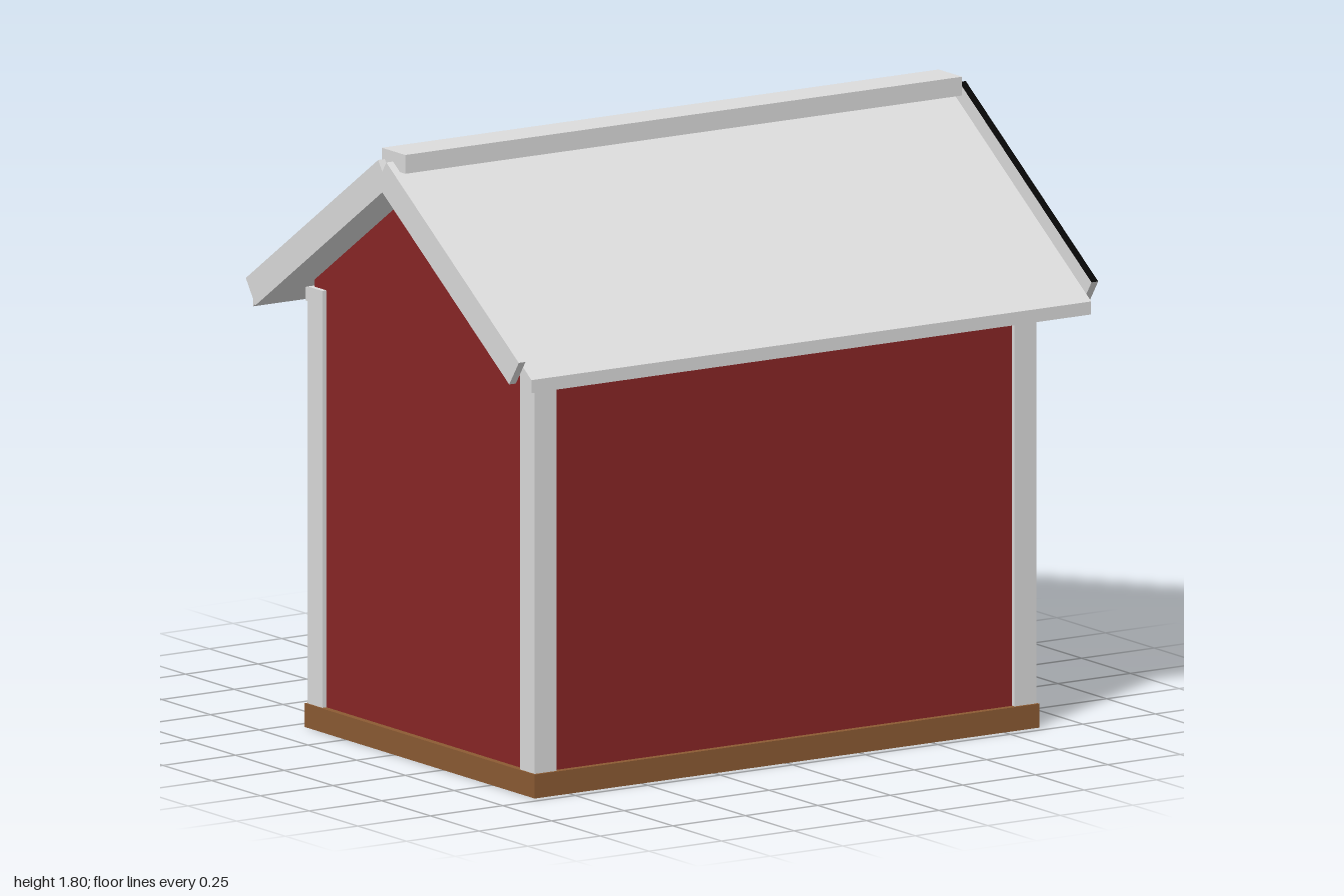
import * as THREE from 'three';

const mat = (name, color) => {
  const m = new THREE.MeshStandardMaterial({ color });
  m.name = name;
  return m;
};

export function createModel() {
  const red = mat('barnRed', 0x892626);
  const trim = mat('trimGrey', 0xdcdcdc);
  const wood = mat('woodBrown', 0x8c5b33);
  const steel = mat('steelGrey', 0x7c818d);
  const black = mat('black', 0x060606);

  const model = new THREE.Group();
  model.name = 'shed';
  const midZ = 0.13; // centre line of the building

  const add = (name, geometry, material, parent = model) => {
    const m = new THREE.Mesh(geometry, material);
    m.name = name;
    parent.add(m);
    return m;
  };
  // Box given by its limits on each axis
  const box = (name, material, [x0, x1], [y0, y1], [z0, z1], parent) => {
    const m = add(name, new THREE.BoxGeometry(x1 - x0, y1 - y0, z1 - z0), material, parent);
    m.position.set((x0 + x1) / 2, (y0 + y1) / 2, (z0 + z1) / 2);
    return m;
  };
  // Profile of [z offset from the centre line, y], extruded along x
  const alongX = (name, material, points, halfWidth) => {
    const shape = new THREE.Shape(points.map(([z, y]) => new THREE.Vector2(-z, y)));
    const g = new THREE.ExtrudeGeometry(shape, { depth: 2 * halfWidth, bevelEnabled: false });
    g.translate(0, 0, -halfWidth).rotateY(Math.PI / 2).translate(0, 0, midZ);
    return add(name, g, material);
  };

  // Floor and walls
  box('floor', wood, [-0.87, 0.87], [0, 0.07], [-0.46, 0.72]);
  alongX('walls', red, [[-0.57, 0.07], [0.57, 0.07], [0.57, 1.31], [0, 1.7], [-0.57, 1.31]], 0.85);

  // Corner posts and eave trim
  for (const s of [-1, 1]) {
    const x = s > 0 ? [0.79, 0.865] : [-0.865, -0.79];
    box('cornerPost', trim, x, [0.07, 1.29], [0.637, 0.712]);
    box('cornerPost', trim, x, [0.07, 1.29], [-0.452, -0.377]);
  }
  box('eaveTrim', trim, [-0.86, 0.86], [1.245, 1.285], [0.69, 0.73]);
  box('eaveTrim', trim, [-0.86, 0.86], [1.245, 1.285], [-0.47, -0.43]);

  // Roof and ridge cap
  alongX('roof', trim,
    [[-0.715, 1.22], [0, 1.705], [0.715, 1.22], [0.715, 1.258], [0, 1.748], [-0.715, 1.258]], 0.965);
  box('ridgeCap', trim, [-0.96, 0.96], [1.745, 1.8], [0.07, 0.19]);

  // Sloping boards at the gable ends
  for (const sx of [-1, 1]) {
    for (const sz of [-1, 1]) {
      const top = sx === sz ? black : trim;
      const board = add('gableBoard', new THREE.BoxGeometry(0.023, 0.087, 0.824),
        [trim, trim, top, trim, trim, trim]);
      board.position.set(sx * 0.9875, 1.507, midZ + sz * 0.336);
      board.rotation.x = sz * 0.601;
    }
  }

  // Sliding door on the back wall
  const door = new THREE.Group();
  door.name = 'door';
  model.add(door);
  box('doorPanel', red, [-0.64, 0.24], [0.08, 1.22], [-0.468, -0.43], door);
  box('doorSideTrim', trim, [0.205, 0.25], [0.07, 1.23], [-0.485, -0.44], door);
  box('doorSideTrim', trim, [-0.65, -0.605], [0.07, 1.23], [-0.485, -0.44], door);
  box('doorRail', trim, [-0.57, 0.165], [0.1, 0.14], [-0.488, -0.46], door);
  box('doorRail', trim, [-0.57, 0.165], [1.09, 1.13], [-0.488, -0.46], door);
  for (const s of [-1, 1]) {
    const under = s > 0 ? black : trim;
    const brace = add('doorBrace', new THREE.BoxGeometry(1.19, 0.045, 0.028),
      [trim, trim, trim, under, trim, trim], door);
    brace.position.set(-0.2025, 0.615, s > 0 ? -0.476 : -0.475);
    brace.rotation.z = s * Math.atan2(0.97, 0.7);
  }
  box('doorTrack', steel, [-0.69, 0.61], [1.235, 1.26], [-0.5, -0.45]);

  // Window on the back wall
  const win = new THREE.Group();
  win.name = 'window';
  model.add(win);
  box('glass', steel, [0.4, 0.7], [0.69, 0.99], [-0.45, -0.442], win);
  for (const x of [0.385, 0.68]) {
    box('windowSide', trim, [x, x + 0.035], [0.675, 1.005], [-0.478, -0.43], win);
  }
  for (const y of [0.675, 0.97]) {
    box('windowRail', trim, [0.42, 0.68], [y, y + 0.035], [-0.475, -0.43], win);
  }
  box('darkMark', black, [0.59, 0.665], [0.71, 0.76], [-0.453, -0.449], win);
  box('darkMark', black, [0.61, 0.645], [0.76, 0.82], [-0.453, -0.449], win);

  // Eight-sided barrel with a hoop
  const barrel = new THREE.Group();
  barrel.name = 'barrel';
  barrel.position.set(0.682, 0, -0.685);
  model.add(barrel);
  const flat = (r, h) => new THREE.CylinderGeometry(r, r, h, 8).toNonIndexed();
  const ring = (name, r, h, y, material) => {
    const g = flat(r, h);
    g.computeVertexNormals();
    add(name, g, material, barrel).position.y = y;
  };
  ring('barrelBody', 0.15, 0.4, 0.2, wood);
  ring('barrelHoop', 0.156, 0.028, 0.206, steel);

  return model;
}
